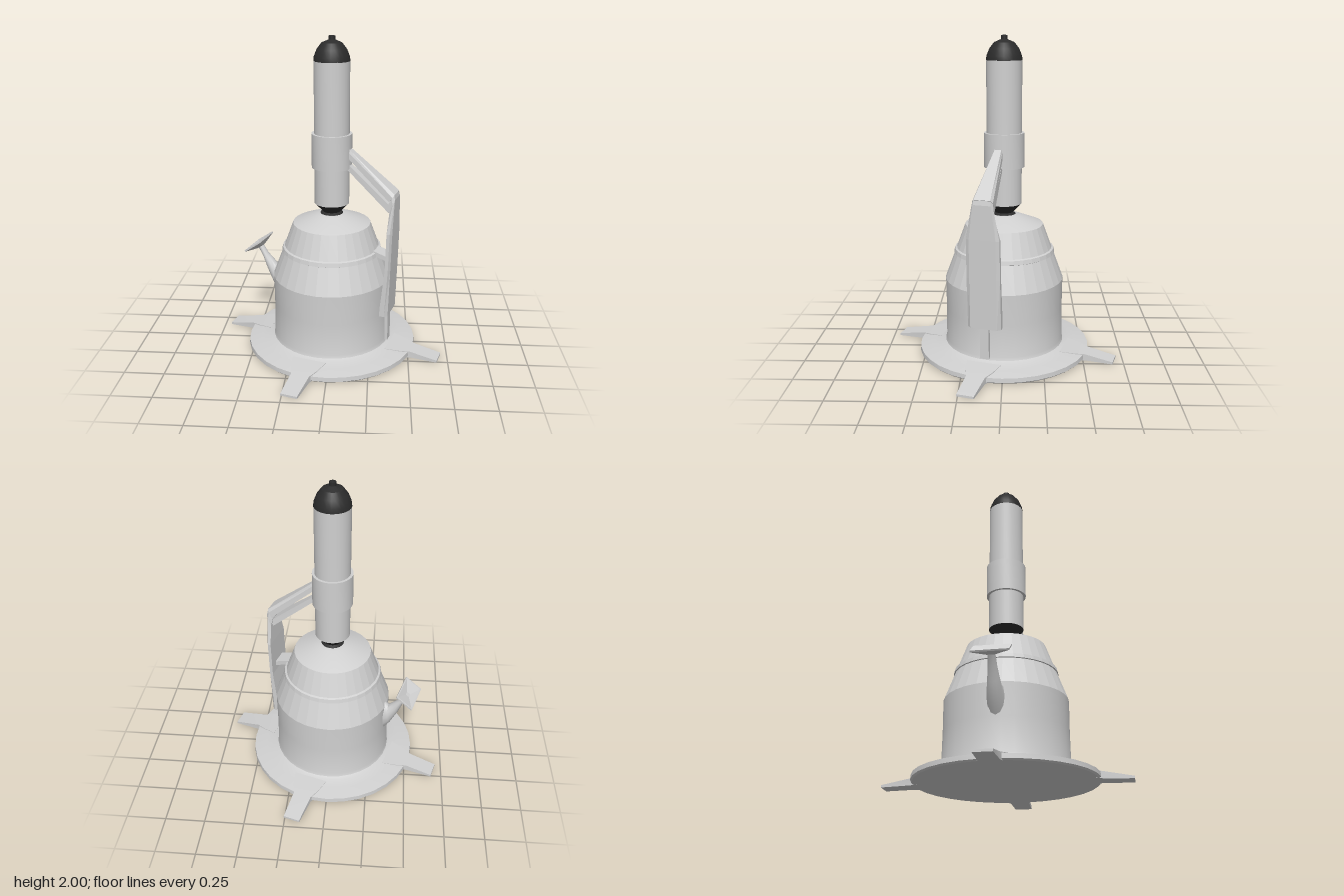
import * as THREE from 'three';
import { toCreasedNormals } from 'three/addons/utils/BufferGeometryUtils.js';

const paint = new THREE.MeshStandardMaterial({ color: 0xd0d0d0 });
paint.name = 'light grey';
const dark = new THREE.MeshStandardMaterial({ color: 0x2c2c2c });
dark.name = 'charcoal';

function flat(geo) {
  const g = geo.index ? geo.toNonIndexed() : geo;
  g.computeVertexNormals();
  return g;
}

// Surface of revolution from [radius, height] pairs, bottom to top
function lathe(profile, segments = 32) {
  return new THREE.LatheGeometry(profile.map(([r, y]) => new THREE.Vector2(r, y)), segments);
}

// Cross-section shapes: u runs from the inner to the outer point, w across the width
const SQUARE = [[-1, 1], [1, 1], [1, -1], [-1, -1]];
const BEVEL = [[-1, 1], [0.3, 1], [1, 0.8], [1, -0.8], [0.3, -1], [-1, -1]];
const ROUND = Array.from({ length: 12 }, (_, i) => {
  const a = (i / 12) * Math.PI * 2;
  return [Math.sin(a), Math.cos(a)];
});

// Skin sections [innerX, innerY, outerX, outerY, halfWidth] with capped ends
function loft(shape, sections) {
  const n = shape.length, pos = [], idx = [];
  for (const [xi, yi, xo, yo, h] of sections) {
    for (const [u, w] of shape) {
      const t = (u + 1) / 2;
      pos.push(xi + (xo - xi) * t, yi + (yo - yi) * t, w * h);
    }
  }
  for (let s = 0; s < sections.length - 1; s++) {
    for (let i = 0; i < n; i++) {
      const a = s * n + i, b = s * n + (i + 1) % n;
      idx.push(a, b, b + n, a, b + n, a + n);
    }
  }
  const e = (sections.length - 1) * n;
  for (let i = 1; i < n - 1; i++) idx.push(0, i + 1, i, e, e + i, e + i + 1);
  const g = new THREE.BufferGeometry();
  g.setAttribute('position', new THREE.Float32BufferAttribute(pos, 3));
  g.setIndex(idx);
  return g;
}

export function createModel() {
  const model = new THREE.Group();
  model.name = 'model';
  // Legs, arm and spout share one axis, turned slightly from the front
  const turned = new THREE.Group();
  turned.name = 'turnedAssembly';
  turned.rotation.y = -0.288;
  model.add(turned);

  const add = (name, geo, mat = paint, parent = model) => {
    const mesh = new THREE.Mesh(geo, mat);
    mesh.name = name;
    parent.add(mesh);
    return mesh;
  };

  // Base plate and drum
  add('baseAndDrum', toCreasedNormals(lathe([
    [0, 0.006], [0.535, 0.006], [0.545, 0.015], [0.543, 0.042], [0.46, 0.057],
    [0.40, 0.066], [0.38, 0.075], [0.374, 0.095], [0.372, 0.3], [0.374, 0.49],
  ]), 0.7));

  // Faceted shoulder with its lip
  add('shoulder', flat(lathe([
    [0.374, 0.49], [0.312, 0.657], [0.318, 0.66], [0.312, 0.685],
    [0.300, 0.69], [0.245, 0.84],
  ])));
  add('shoulderCap', toCreasedNormals(lathe([
    [0.245, 0.84], [0.1, 0.897], [0.06, 0.905], [0, 0.905],
  ]), 0.5));

  // Dark pivot below the barrel
  add('pivot', toCreasedNormals(lathe([
    [0, 0.89], [0.075, 0.895], [0.07, 0.906], [0.055, 0.914], [0.108, 0.97], [0, 0.97],
  ]), 0.5), dark);

  // Barrel, collar and nose
  add('barrel', toCreasedNormals(lathe([[0, 0.97], [0.109, 0.97], [0.109, 1.855], [0, 1.855]]), 0.5));
  add('collar', toCreasedNormals(lathe([
    [0.105, 1.202], [0.125, 1.202], [0.125, 1.415], [0.105, 1.415],
  ]), 0.5));
  add('nose', toCreasedNormals(lathe([
    [0, 1.852], [0.11, 1.852], [0.107, 1.878], [0.09, 1.92], [0.062, 1.957],
    [0.02, 1.975], [0.02, 1.997], [0.01, 2], [0, 2],
  ], 24), 0.5), dark);

  // Four feet around the base
  const footGeo = toCreasedNormals(loft(SQUARE, [
    [0.40, 0.066, 0.40, 0.008, 0.11],
    [0.49, 0.055, 0.49, 0.006, 0.085],
    [0.55, 0.046, 0.55, 0.005, 0.058],
    [0.725, 0.014, 0.725, 0, 0.053],
  ]), 0.5);
  for (let i = 0; i < 4; i++) {
    add('foot', footGeo, paint, turned).rotation.y = i * Math.PI / 2;
  }

  // Support arm: broad upright panel, then two tapering rails to the collar
  add('armPanel', flat(loft(BEVEL, [
    [0.352, 0.285, 0.405, 0.285, 0.105],
    [0.385, 0.6, 0.415, 0.6, 0.105],
    [0.390, 0.84, 0.421, 0.84, 0.103],
    [0.395, 0.965, 0.424, 1.05, 0.07],
    [0.385, 1.02, 0.418, 1.08, 0.064],
  ])), paint, turned);
  add('upperRail', flat(loft(BEVEL, [
    [0.39, 1.035, 0.42, 1.08, 0.064],
    [0.10, 1.285, 0.12, 1.328, 0.026],
  ])), paint, turned);
  add('lowerRail', flat(loft(SQUARE, [
    [0.385, 0.965, 0.405, 1.0, 0.058],
    [0.10, 1.205, 0.11, 1.235, 0.022],
  ])), paint, turned);

  // Brackets tying the arm to the shoulder and drum
  add('shoulderBracket', flat(loft(SQUARE, [
    [0.27, 0.705, 0.27, 0.675, 0.05],
    [0.40, 0.665, 0.40, 0.635, 0.05],
  ])), paint, turned);
  const clip = add('lowerClip', new THREE.BoxGeometry(0.03, 0.22, 0.056), paint, turned);
  clip.position.set(0.376, 0.195, 0);

  // Curved stalk opposite the arm, carrying a dished head
  add('stalk', toCreasedNormals(loft(ROUND, [
    [-0.35, 0.27, -0.35, 0.52, 0.055],
    [-0.405, 0.35, -0.39, 0.495, 0.045],
    [-0.455, 0.455, -0.425, 0.53, 0.034],
    [-0.485, 0.535, -0.455, 0.56, 0.026],
    [-0.520, 0.595, -0.485, 0.61, 0.022],
  ]), 0.9), paint, turned);
  add('dishedHead', flat(loft(SQUARE, [
    [-0.520, 0.590, -0.485, 0.613, 0.025],
    [-0.568, 0.590, -0.465, 0.662, 0.108],
    [-0.573, 0.598, -0.470, 0.670, 0.108],
    [-0.567, 0.602, -0.476, 0.666, 0.099],
    [-0.525, 0.612, -0.503, 0.627, 0.015],
  ])), paint, turned);

  return model;
}
